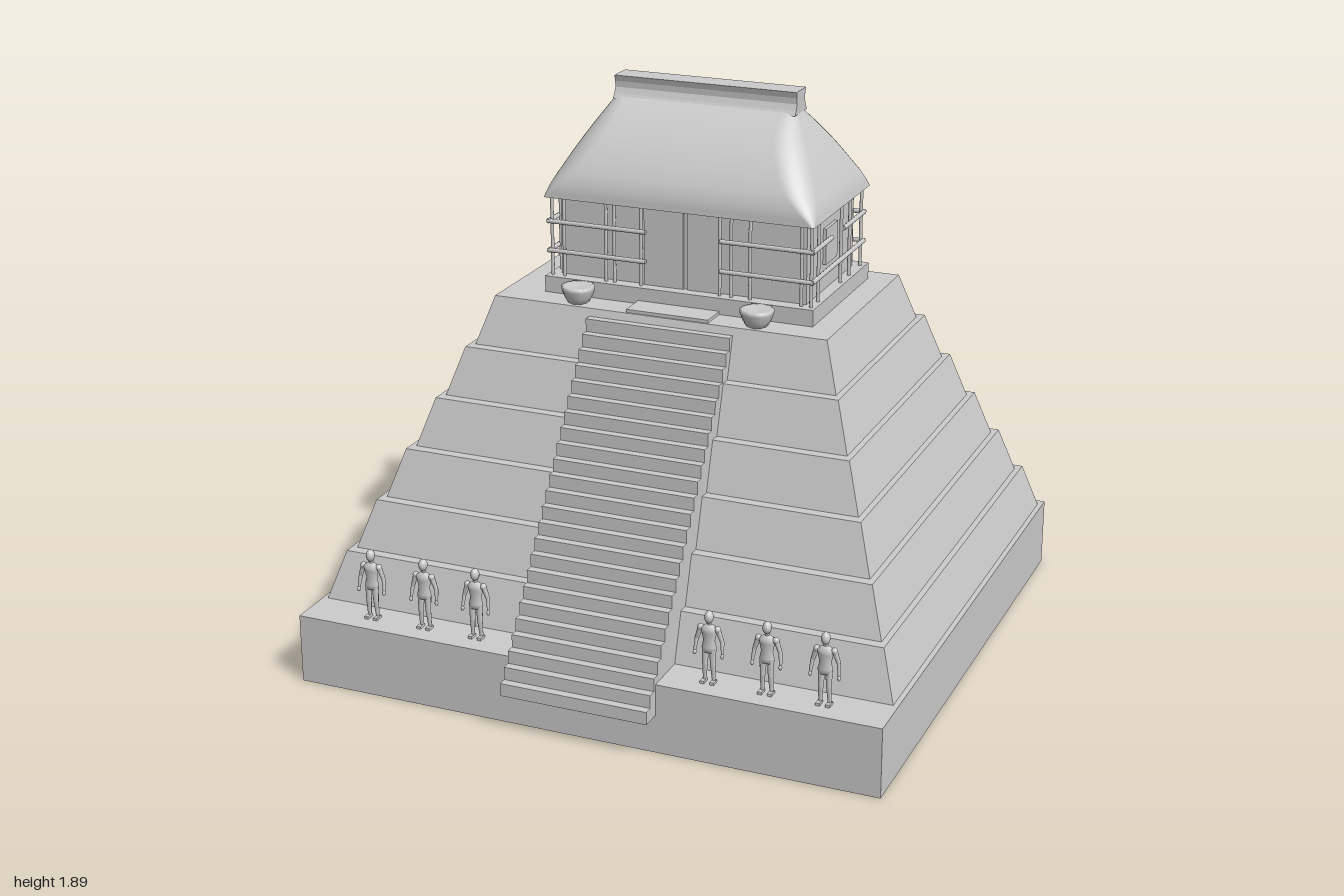
import * as THREE from 'three';

const mat = new THREE.MeshStandardMaterial({ color: 0xcccccc });
const open = new THREE.MeshStandardMaterial({ color: 0xcccccc, side: THREE.DoubleSide });

function add(parent, name, geo, x = 0, y = 0, z = 0, material = mat) {
  const m = new THREE.Mesh(geo, material);
  m.name = name;
  m.position.set(x, y, z);
  parent.add(m);
  return m;
}

// Box given by its limits
function block(parent, name, x0, x1, y0, y1, z0, z1, material) {
  return add(parent, name, new THREE.BoxGeometry(x1 - x0, y1 - y0, z1 - z0),
    (x0 + x1) / 2, (y0 + y1) / 2, (z0 + z1) / 2, material);
}

// Tier with sloping sides: the top of a box is drawn in by a fixed inset
function tier(parent, hx, y0, y1, zBack, zFront, inset) {
  const m = block(parent, 'tier', -hx, hx, y0, y1, zBack, zFront);
  const p = m.geometry.attributes.position;
  for (let i = 0; i < p.count; i++) {
    if (p.getY(i) < 0) continue;
    p.setX(i, p.getX(i) - Math.sign(p.getX(i)) * inset);
    p.setZ(i, p.getZ(i) - Math.sign(p.getZ(i)) * inset);
  }
  m.geometry.computeVertexNormals();
}

// Tapered round bar between two points
function bar(parent, name, a, b, r0, r1 = r0, sides = 8) {
  const A = new THREE.Vector3(...a), d = new THREE.Vector3(...b).sub(A);
  const m = add(parent, name, new THREE.CylinderGeometry(r1, r0, d.length(), sides));
  m.position.copy(A).addScaledVector(d, 0.5);
  m.quaternion.setFromUnitVectors(new THREE.Vector3(0, 1, 0), d.normalize());
}

// Side profile given as (z, y), extruded along x
function extrudeX(points, x0, x1) {
  const shape = new THREE.Shape(points.map(([z, y]) => new THREE.Vector2(-z, y)));
  const g = new THREE.ExtrudeGeometry(shape, { depth: x1 - x0, bevelEnabled: false });
  return g.rotateY(Math.PI / 2).translate(x0, 0, 0);
}

// Thatched roof: rounded rectangles that shrink along a curved profile
function roofGeometry() {
  const curve = new THREE.CatmullRomCurve3([
    [0.47, 1.52, 0.275], [0.46, 1.56, 0.272], [0.438, 1.61, 0.255], [0.39, 1.70, 0.195],
    [0.345, 1.775, 0.12], [0.318, 1.82, 0.055], [0.312, 1.835, 0.02],
  ].map(v => new THREE.Vector3(...v)));
  const rings = 24, perCorner = 9, n = perCorner * 4, pos = [], idx = [];
  const signs = [[1, 1], [-1, 1], [-1, -1], [1, -1]];
  for (let j = 0; j <= rings; j++) {
    const t = j / rings, p = curve.getPoint(t), r = p.z * (0.03 + 0.8 * t);
    signs.forEach(([sx, sz], q) => {
      for (let k = 0; k < perCorner; k++) {
        const a = (q + k / (perCorner - 1)) * Math.PI / 2;
        pos.push(sx * (p.x - r) + r * Math.cos(a), p.y, sz * (p.z - r) + r * Math.sin(a));
      }
    });
    if (j === rings) break;
    for (let i = 0; i < n; i++) {
      const a = j * n + i, b = j * n + (i + 1) % n;
      idx.push(a, a + n, b, b, a + n, b + n);
    }
  }
  const g = new THREE.BufferGeometry();
  g.setAttribute('position', new THREE.Float32BufferAttribute(pos, 3));
  g.setIndex(idx);
  g.computeVertexNormals();
  return g;
}

// Small standing statue, feet at the group's origin
function statue() {
  const s = new THREE.Group();
  s.name = 'statue';
  const ball = (name, r, x, y, z, sx = 1, sy = 1, sz = 1) =>
    add(s, name, new THREE.SphereGeometry(r, 12, 8), x, y, z).scale.set(sx, sy, sz);
  ball('head', 0.017, 0, 0.222, 0.002, 0.85, 1.2, 1);
  bar(s, 'neck', [0, 0.185, -0.002], [0, 0.21, 0], 0.008);
  const torso = add(s, 'torso', new THREE.LatheGeometry([
    [0, 0.1], [0.023, 0.105], [0.024, 0.12], [0.019, 0.142], [0.025, 0.17], [0.028, 0.185], [0.012, 0.196], [0, 0.198],
  ].map(p => new THREE.Vector2(...p)), 14));
  torso.scale.z = 0.62;
  for (const k of [1, -1]) {
    bar(s, 'thigh', [k * 0.013, 0.062, 0.002], [k * 0.012, 0.115, 0], 0.009, 0.012);
    bar(s, 'calf', [k * 0.015, 0.004, -0.003], [k * 0.013, 0.064, 0.002], 0.006, 0.009);
    block(s, 'foot', k * 0.016 - 0.007, k * 0.016 + 0.007, 0, 0.009, -0.01, 0.02);
    ball('shoulder', 0.011, k * 0.028, 0.183, 0);
    bar(s, 'upperArm', [k * 0.042, 0.142, -0.003], [k * 0.029, 0.183, 0], 0.007, 0.009);
    bar(s, 'forearm', [k * 0.046, 0.105, 0.004], [k * 0.042, 0.144, -0.003], 0.005, 0.007);
    ball('hand', 0.007, k * 0.046, 0.098, 0.006, 0.8, 1.3, 1);
  }
  return s;
}

function temple() {
  const h = new THREE.Group();
  h.name = 'temple';
  block(h, 'plinth', -0.445, 0.495, 1.195, 1.25, -0.395, 0.152);
  block(h, 'walls', -0.405, 0.455, 1.25, 1.56, -0.34, 0.105);

  // Posts around the walls
  const zF = 0.125, zB = -0.355, xL = -0.428, xR = 0.478;
  const post = (x, z) => bar(h, 'post', [x, 1.25, z], [x, 1.55, z], 0.006);
  for (const x of [xL, -0.385, -0.235, -0.205, -0.11, 0.165, 0.205, 0.27, 0.445, xR]) post(x, zF);
  for (const x of [xL, -0.385, -0.22, -0.09, 0.13, 0.275, 0.445, xR]) post(x, zB);
  for (const x of [xL, xR]) for (const z of [0.06, -0.155, -0.24]) post(x, z);

  // Rails, broken by the doorway and the windows
  const rail = (a, b) => bar(h, 'rail', a, b, 0.008);
  for (const y of [1.335, 1.435]) {
    rail([-0.44, y, zF + 0.01], [-0.09, y, zF + 0.01]);
    rail([0.17, y, zF + 0.01], [0.49, y, zF + 0.01]);
  }
  rail([-0.44, 1.335, zB - 0.01], [0.49, 1.335, zB - 0.01]);
  rail([-0.44, 1.435, zB - 0.01], [-0.05, 1.435, zB - 0.01]);
  rail([0.10, 1.435, zB - 0.01], [0.49, 1.435, zB - 0.01]);
  for (const x of [xL - 0.007, xR + 0.007]) {
    rail([x, 1.335, 0.14], [x, 1.335, -0.365]);
    rail([x, 1.435, 0.14], [x, 1.435, -0.045]);
    rail([x, 1.435, -0.155], [x, 1.435, -0.365]);
  }

  // Window panels and door leaves
  for (const x of [-0.408, 0.458]) block(h, 'windowPanel', x - 0.008, x + 0.008, 1.34, 1.46, -0.155, -0.045);
  block(h, 'windowPanel', -0.04, 0.09, 1.34, 1.46, -0.35, -0.335);
  block(h, 'doorLeaf', -0.105, 0.033, 1.25, 1.52, 0.1, 0.113);
  block(h, 'doorLeaf', 0.047, 0.16, 1.25, 1.52, 0.1, 0.113);

  add(h, 'roof', roofGeometry(), 0.025, 0, -0.12, open);
  const half = [[0.055, 1.815], [0.045, 1.83], [0.036, 1.85], [0.037, 1.87], [0.043, 1.89]];
  const ridge = [...half, ...half.map(([z, y]) => [-z, y]).reverse()];
  add(h, 'roofRidge', extrudeX(ridge, -0.29, 0.345), 0, 0, -0.12);
  return h;
}

export function createModel() {
  const g = new THREE.Group();
  g.name = 'steppedPyramid';

  // Hollow base, open underneath
  const base = block(g, 'base', -1, 1, 0, 0.235, -0.97, 0.89, open);
  const index = Array.from(base.geometry.index.array);
  base.geometry.setIndex([...index.slice(0, 18), ...index.slice(24)]);
  base.geometry.clearGroups();

  // Six tiers
  for (let i = 0; i < 6; i++) {
    tier(g, 0.983 - 0.0705 * i, 0.235 + 0.16 * i, 0.395 + 0.16 * i, -0.937 + 0.0835 * i, 0.737 - 0.0865 * i, 0.051);
  }

  // Stairway
  const steps = 24, rise = 1.04 / steps, run = 0.7 / steps, profile = [];
  for (let i = 0; i < steps; i++) {
    const z = 0.96 - i * run, y = 0.13 + i * rise;
    profile.push([z, y], [z, y + rise]);
  }
  profile.push([0.2, 1.17], [0.7, 0.25], [0.82, 0.13]);
  add(g, 'stairway', extrudeX(profile, -0.235, 0.265));

  // Terrace slab and bowls
  block(g, 'terraceSlab', -0.11, 0.175, 1.19, 1.206, 0.14, 0.248);
  const bowl = [[0, 0], [0.036, 0], [0.046, 0.018], [0.055, 0.042], [0.056, 0.055], [0.046, 0.055], [0, 0.05]]
    .map(p => new THREE.Vector2(...p));
  for (const x of [-0.3, 0.325]) add(g, 'bowl', new THREE.LatheGeometry(bowl, 10), x, 1.195, 0.205);

  g.add(temple());

  // Row of statues
  for (const x of [-0.77, -0.578, -0.392, 0.41, 0.6, 0.788]) {
    const s = statue();
    s.position.set(x, 0.235, 0.808);
    g.add(s);
  }
  return g;
}
